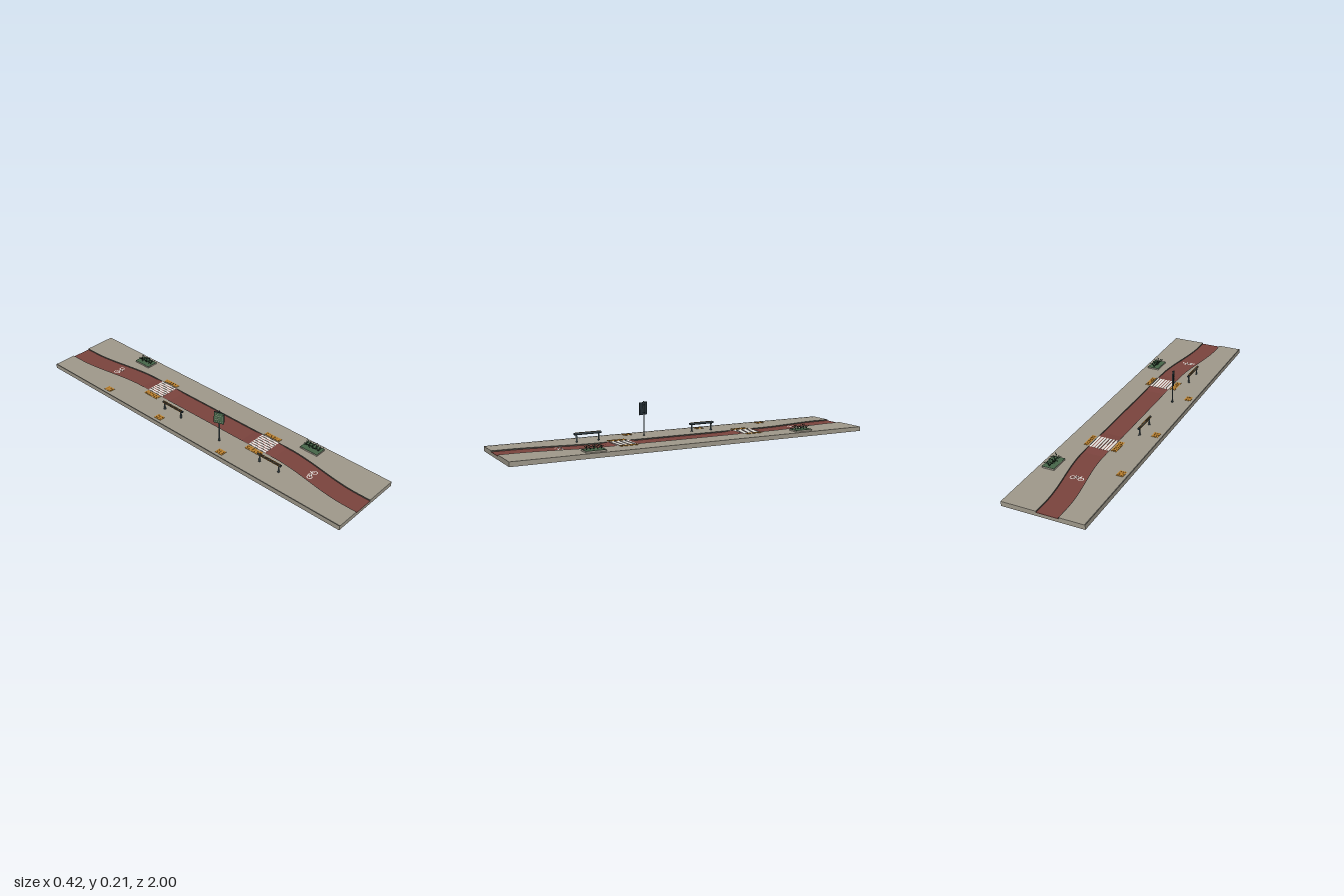
import * as THREE from 'three';

const mat = (name, color, side = THREE.FrontSide) => {
  const m = new THREE.MeshStandardMaterial({ color, side });
  m.name = name;
  return m;
};
const M = {
  stone: mat('paving stone', 0xa09a8c),
  kerb: mat('dark kerb', 0x55534c),
  red: mat('red asphalt', 0x7c443e),
  white: mat('white paint', 0xe8e6e0),
  orange: mat('tactile orange', 0xc08530),
  brown: mat('brown wood', 0x87581f),
  slate: mat('dark slate', 0x27343a),
  metal: mat('grey metal', 0x54656a),
  green: mat('planting green', 0x47674a),
  leaf: mat('dark leaf', 0x263a28, THREE.DoubleSide),
};
const TOP = 0.024, FLOOR = 0.018, HALF = 0.21, LANE = 0.055;
const CROSSINGS = [-0.365, 0.365];

function add(parent, name, geo, material, x = 0, y = 0, z = 0) {
  const m = new THREE.Mesh(geo, material);
  m.name = name;
  m.position.set(x, y, z);
  parent.add(m);
  return m;
}
const box = (w, h, d) => new THREE.BoxGeometry(w, h, d);

function group(parent, name, x = 0, y = 0, z = 0) {
  const g = new THREE.Group();
  g.name = name;
  g.position.set(x, y, z);
  parent.add(g);
  return g;
}

// Lane centre line swings sideways near both ends
const centre = z => 0.027 - 0.052 * THREE.MathUtils.smoothstep(Math.abs(z), 0.48, 0.93);
// Lane surface ramps up to the raised crossings
const laneTop = z => {
  const d = Math.abs(Math.abs(z) - 0.365);
  return 0.0235 - (0.0235 - FLOOR) * THREE.MathUtils.clamp((d - 0.055) / 0.05, 0, 1);
};

// Closed four-sided strip running along z, with edges given as functions of z
function strip(xL, xR, yB, yT) {
  const n = 200, pos = [];
  const section = z => [[xL(z), yT(z), z], [xR(z), yT(z), z], [xR(z), yB, z], [xL(z), yB, z]];
  const quad = (a, b, c, d) => pos.push(...a, ...b, ...c, ...a, ...c, ...d);
  for (let i = 0; i < n; i++) {
    const s = section(-1 + 2 * i / n), t = section(-1 + 2 * (i + 1) / n);
    for (let k = 0; k < 4; k++) quad(s[k], t[k], t[(k + 1) % 4], s[(k + 1) % 4]);
    if (i === 0) quad(...s);
    if (i === n - 1) quad(t[0], t[3], t[2], t[1]);
  }
  const g = new THREE.BufferGeometry();
  g.setAttribute('position', new THREE.Float32BufferAttribute(pos, 3));
  g.computeVertexNormals();
  return g;
}

// Tactile plate with raised ridges
function tactile(parent, x, z, w, d, rows) {
  const g = group(parent, 'tactilePad', x, TOP, z);
  add(g, 'padPlate', box(w, 0.0016, d), M.orange, 0, 0.0008);
  for (let i = 0; i < rows; i++) {
    const pz = (i + 0.5) / rows * d - d / 2;
    for (const s of [-1, 1]) add(g, 'padRidge', box(w * 0.25, 0.0008, d / rows * 0.35), M.brown, s * w * 0.2, 0.002, pz);
  }
}

// Leaning bench: round rail with a wooden face on two posts
function bench(parent, z) {
  const g = group(parent, 'leaningBench', -0.098, TOP, z);
  add(g, 'benchRail', new THREE.CylinderGeometry(0.0065, 0.0065, 0.145, 12).rotateX(Math.PI / 2), M.slate, 0, 0.0415);
  add(g, 'benchTopSlat', box(0.005, 0.002, 0.135), M.brown, 0, 0.0475);
  add(g, 'benchBackSlat', box(0.002, 0.005, 0.135), M.brown, -0.006, 0.0415);
  for (const s of [-1, 1]) {
    add(g, 'benchPost', box(0.006, 0.038, 0.006), M.metal, 0, 0.019, s * 0.06);
    add(g, 'benchFoot', box(0.01, 0.002, 0.01), M.slate, 0, 0.001, s * 0.06);
  }
}

// Painted bicycle symbol lying flat
function bicycle(parent, z) {
  const g = group(parent, 'bicycleMarking', 0, FLOOR + 0.0004, z);
  if (z < 0) g.rotation.y = Math.PI;
  for (const s of [-1, 1])
    add(g, 'markingWheel', new THREE.RingGeometry(0.0105, 0.0145, 20).rotateX(-Math.PI / 2), M.white, s * 0.021, 0.0003);
  const bars = [[-0.021, 0, -0.008, 0.014], [-0.021, 0, -0.001, 0], [-0.001, 0, -0.009, 0.018], [-0.001, 0, 0.014, 0.014],
    [-0.008, 0.014, 0.014, 0.014], [0.021, 0, 0.012, 0.021], [0.012, 0.021, 0.019, 0.021], [-0.013, 0.018, -0.005, 0.018]];
  for (const [x0, v0, x1, v1] of bars) {
    const dx = x1 - x0, dv = v1 - v0;
    add(g, 'markingBar', box(Math.hypot(dx, dv), 0.0006, 0.0028), M.white, (x0 + x1) / 2, 0, -(v0 + v1) / 2)
      .rotation.y = Math.atan2(dv, dx);
  }
}

// Low planter with arching blades
function planter(parent, z) {
  const g = group(parent, 'planter', 0.156, TOP, z);
  add(g, 'planterBase', box(0.065, 0.007, 0.105), M.stone, 0, 0.0035);
  add(g, 'planterBed', box(0.064, 0.0015, 0.104), M.green, 0, 0.00775);
  for (let i = 0; i < 5; i++) {
    const plant = group(g, 'plant', 0, 0.008, (i - 2) * 0.019);
    for (let k = 0; k < 6; k++) {
      const a = (k < 3 ? 0 : Math.PI) + ((k % 3) - 1) * 0.45 + i * 0.06;
      const r = 0.025 - 0.006 * ((k + i) % 3), h = 0.022 - 0.003 * ((k + 2 * i) % 3);
      const at = (t, y) => new THREE.Vector3(Math.cos(a) * r * t, y, Math.sin(a) * r * t);
      const curve = new THREE.QuadraticBezierCurve3(at(0, 0), at(0.45, h * 1.05), at(1, h * 0.9));
      add(plant, 'stem', new THREE.TubeGeometry(curve, 5, 0.0008, 4), M.leaf);
      for (const t of [0.6, 0.95]) {
        const p = curve.getPoint(t);
        add(plant, 'leaf', new THREE.SphereGeometry(1, 6, 4).scale(0.0035, 0.0012, 0.002), M.leaf, p.x, p.y, p.z)
          .rotation.set(0, -a, 0.4);
      }
    }
  }
}

// Sign post with a turned information panel
function sign(parent) {
  const g = group(parent, 'signPost', -0.107, TOP, 0.183);
  add(g, 'postBase', new THREE.CylinderGeometry(0.006, 0.006, 0.004, 12), M.slate, 0, 0.002);
  add(g, 'post', new THREE.CylinderGeometry(0.0032, 0.0032, 0.178, 12), M.metal, 0, 0.091);
  add(g, 'postCap', new THREE.CylinderGeometry(0.0036, 0.0036, 0.004, 12), M.slate, 0, 0.181);
  const panel = group(g, 'signPanel', 0, 0.143, 0);
  panel.rotation.y = -1.22;
  add(panel, 'panelBack', box(0.055, 0.066, 0.004), M.slate, 0, 0, 0.005);
  add(panel, 'panelFace', box(0.051, 0.062, 0.001), M.green, 0, 0, 0.0075);
  for (let i = 0; i < 5; i++) {
    const w = 0.016 + 0.008 * (i * 2 % 3);
    add(panel, 'panelLine', box(w, 0.0018, 0.0006), M.stone, -0.02 + w / 2, 0.022 - i * 0.011, 0.0082);
    add(panel, 'panelMark', box(0.004, 0.004, 0.0006), M.stone, 0.019, 0.022 - i * 0.011, 0.0082);
  }
  for (const y of [-0.02, 0.02]) add(panel, 'panelBracket', box(0.009, 0.005, 0.008), M.slate, 0, y, 0);
}

export function createModel() {
  const root = new THREE.Group();
  root.name = 'streetSection';

  // Paving, kerbs and the sunken cycle lane
  const left = z => centre(z) - LANE, right = z => centre(z) + LANE, K = 0.003;
  const ground = group(root, 'ground');
  add(ground, 'pavingWest', strip(() => -HALF, z => left(z) - K, 0, () => TOP), M.stone);
  add(ground, 'pavingEast', strip(z => right(z) + K, () => HALF, 0, () => TOP), M.stone);
  add(ground, 'laneBase', strip(z => left(z) - K, z => right(z) + K, 0, () => 0.016), M.stone);
  add(ground, 'kerbWest', strip(z => left(z) - K, left, 0.016, () => TOP), M.kerb);
  add(ground, 'kerbEast', strip(right, z => right(z) + K, 0.016, () => TOP), M.kerb);
  add(ground, 'cycleLane', strip(left, right, 0.016, laneTop), M.red);
  add(ground, 'edgeStrip', box(0.006, 0.0008, 2), M.kerb, -HALF + 0.003, TOP + 0.0004);

  // Raised crossings with stripes and tactile pads
  for (const z of CROSSINGS) {
    const g = group(root, 'crossing');
    for (let i = 0; i < 7; i++)
      add(g, 'crossingStripe', box(0.0108, 0.001, 0.108), M.white, 0.027 + (i - 3) * 0.0158, 0.0238, z);
    tactile(g, -0.05, z, 0.03, 0.095, 6);
    tactile(g, 0.101, z, 0.024, 0.095, 6);
  }
  for (const z of [-0.577, -0.182, 0.253]) tactile(root, -0.173, z, 0.035, 0.045, 3);

  for (const z of [-0.157, 0.502]) bench(root, z);
  for (const z of [-0.69, 0.69]) bicycle(root, z);
  for (const z of [-0.632, 0.572]) planter(root, z);
  sign(root);
  return root;
}
